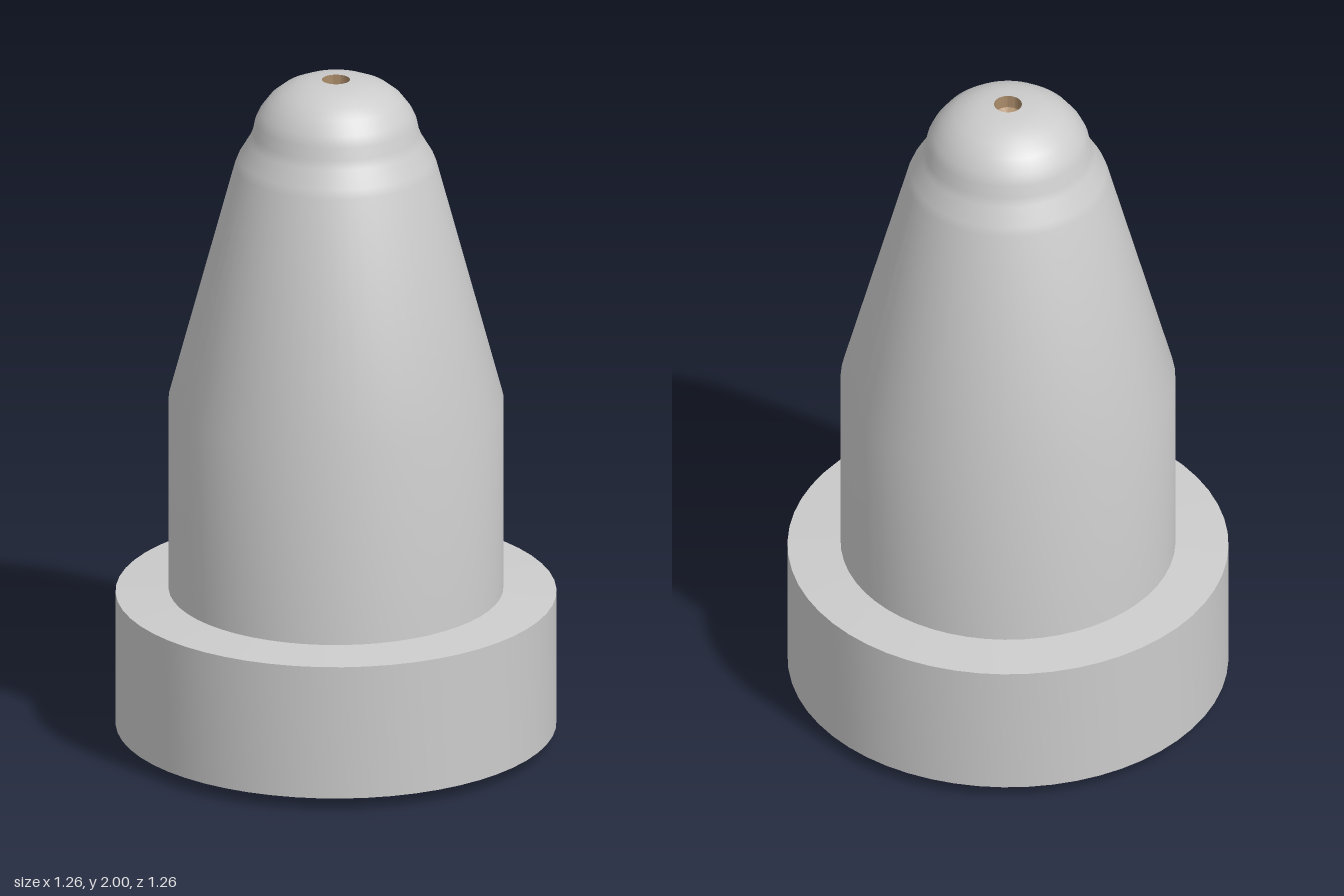
import * as THREE from 'three';
import { toCreasedNormals } from 'three/addons/utils/BufferGeometryUtils.js';

const SEGMENTS = 56;

// Revolves a profile of [radius, height] pairs; upward profiles face outward
function turned(name, profile, material) {
  const points = profile.map(([r, y]) => new THREE.Vector2(r, y));
  const geometry = toCreasedNormals(new THREE.LatheGeometry(points, SEGMENTS), 0.5);
  const mesh = new THREE.Mesh(geometry, material);
  mesh.name = name;
  return mesh;
}

export function createModel() {
  const model = new THREE.Group();
  model.name = 'nozzle';
  const grey = new THREE.MeshStandardMaterial({ color: 0xcccccc });
  const copper = new THREE.MeshStandardMaterial({ color: 0xac8d6b, side: THREE.DoubleSide });

  // Straight sleeve, tapered neck and rounded tip
  model.add(turned('shell', [
    [0.465, 0], [0.48, 0], [0.48, 1.03],
    [0.29, 1.74], [0.28, 1.765], [0.25, 1.815], [0.239, 1.84],
    [0.232, 1.875], [0.218, 1.905], [0.19, 1.942], [0.155, 1.97],
    [0.11, 1.99], [0.075, 1.997], [0.04, 2],
  ], grey));

  // Wide collar with slightly sloped end faces
  model.add(turned('collar', [
    [0.475, 0.025], [0.632, 0.037], [0.632, 0.438], [0.475, 0.45],
  ], grey));

  // Socket, ledge and tapering bore
  model.add(turned('boreLining', [
    [0.04, 2], [0.04, 1.96], [0.025, 1.95], [0.025, 1.88],
    [0.16, 1.74], [0.34, 1.05], [0.34, 0.41],
    [0.465, 0.355], [0.465, 0],
  ], copper));

  return model;
}
